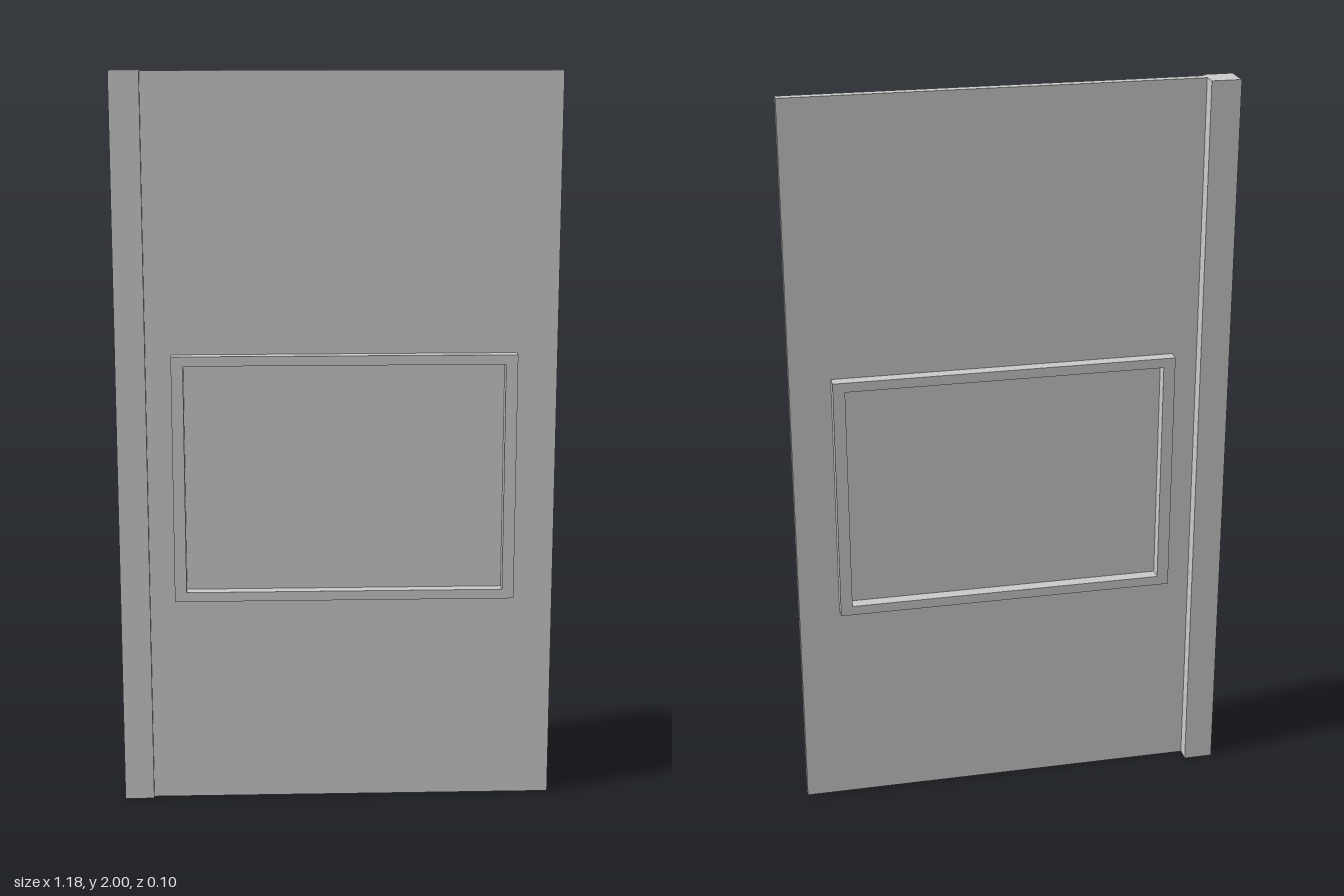
import * as THREE from 'three';

const material = new THREE.MeshStandardMaterial({ color: 0xcccccc, flatShading: true });

// Box given by its min and max on each axis
function block(name, [x0, x1], [y0, y1], [z0, z1]) {
  const mesh = new THREE.Mesh(new THREE.BoxGeometry(x1 - x0, y1 - y0, z1 - z0), material);
  mesh.position.set((x0 + x1) / 2, (y0 + y1) / 2, (z0 + z1) / 2);
  mesh.name = name;
  return mesh;
}

function rectangle(path, x0, x1, y0, y1) {
  path.moveTo(x0, y0);
  path.lineTo(x1, y0);
  path.lineTo(x1, y1);
  path.lineTo(x0, y1);
  path.closePath();
  return path;
}

export function createModel() {
  const group = new THREE.Group();
  group.name = 'panelWithFrame';

  // Thin full-height panel and the thicker post along its edge
  group.add(block('panel', [-0.514, 0.592], [0, 2], [-0.01, 0.016]));
  group.add(block('edgePost', [-0.592, -0.512], [0, 2], [-0.049, 0.029]));

  // Rectangular frame standing proud on both faces of the panel
  const outline = rectangle(new THREE.Shape(), -0.443, 0.482, 0.578, 1.255);
  outline.holes.push(rectangle(new THREE.Path(), -0.411, 0.45, 0.604, 1.229));
  const frame = new THREE.Mesh(
    new THREE.ExtrudeGeometry(outline, { depth: 0.093, bevelEnabled: false }),
    material
  );
  frame.position.z = -0.044;
  frame.name = 'windowFrame';
  group.add(frame);

  return group;
}
